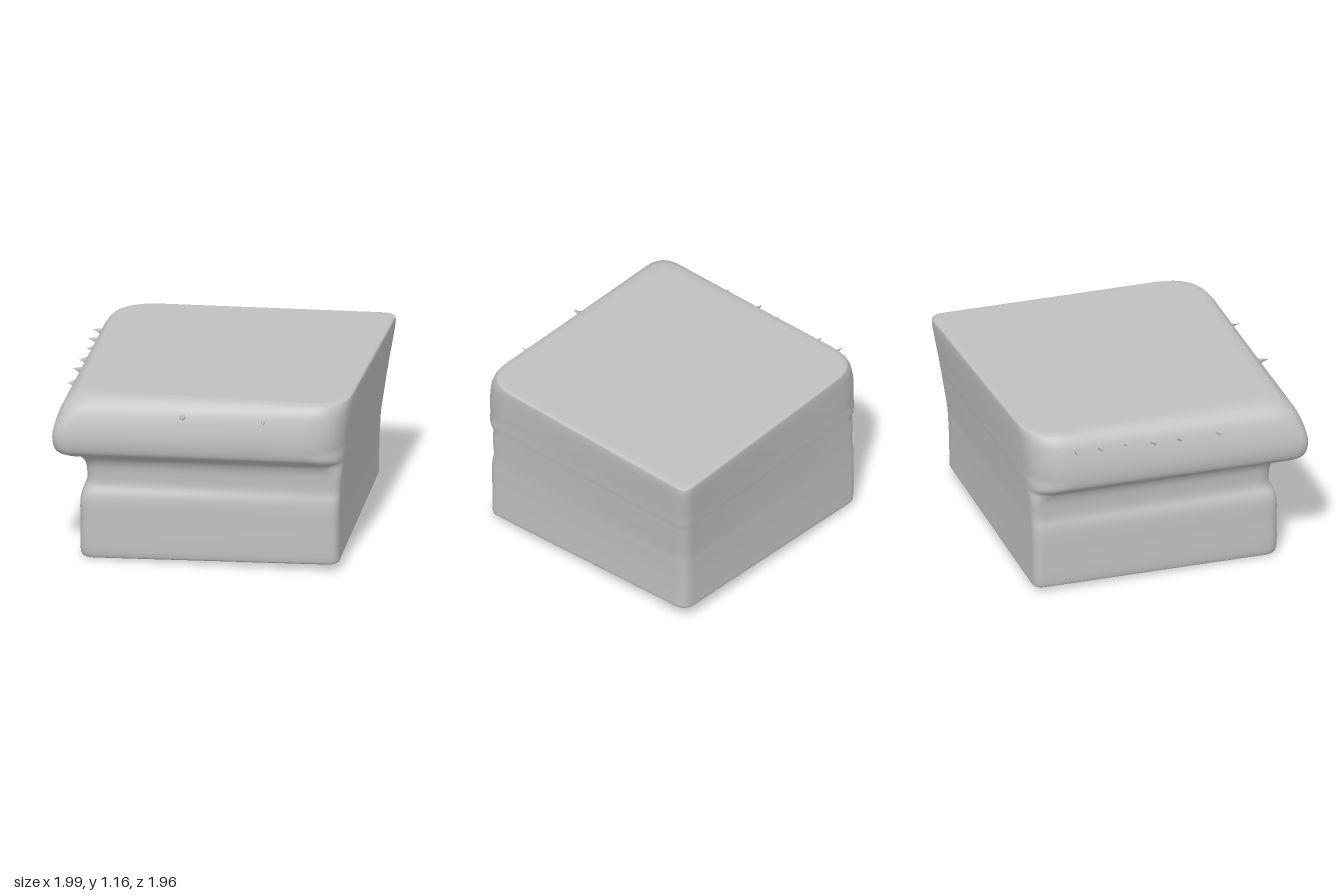
import * as THREE from 'three';

// Profile points: outward reach of the moulded sides, height, flare of the plain sides
const PROFILE = [
  [0.785, 0, -0.4], [0.81, 0.006, -0.15], [0.826, 0.025, 0], [0.832, 0.06, 0], [0.833, 0.25, 0.02],
  [0.832, 0.4, 0.08], [0.822, 0.45, 0.1], [0.795, 0.51, 0.16], [0.793, 0.58, 0.25], [0.808, 0.66, 0.35],
  [0.85, 0.715, 0.42], [0.93, 0.75, 0.46], [0.975, 0.785, 0.52], [0.995, 0.85, 0.6], [0.99, 0.94, 0.74],
  [0.955, 1.05, 0.9], [0.92, 1.105, 0.97], [0.87, 1.145, 0.98], [0.82, 1.16, 0.85], [0.77, 1.165, 0.5],
];
const CORNER_STEPS = 8, EDGE_STEPS = 10, LEVELS = 90;

// One horizontal cross-section: a skewed quad with rounded corners
function ring(out, y, flare) {
  const m = out - 0.83;
  const soft = 0.07 + 0.2 * THREE.MathUtils.smoothstep(y, 0.62, 0.85);
  const corners = [
    [-out, out - 0.012, 0.09 + 0.3 * Math.max(0, y - 0.9)],
    [0.88 + 0.05 * flare, 0.83 + m * 0.5, soft],
    [0.9 + 0.1 * flare, -0.89 - 0.09 * flare, 0.09],
    [-0.83 - m * 0.5, -0.865 - 0.03 * flare, soft],
  ];
  const pts = corners.map(c => new THREE.Vector2(c[0], c[1]));
  const toward = (a, b, d) => a.clone().add(b.clone().sub(a).setLength(d));
  const loop = [];
  for (let i = 0; i < 4; i++) {
    const p = pts[i], next = pts[(i + 1) % 4], prev = pts[(i + 3) % 4], r = corners[i][2];
    const end = toward(p, next, r);
    const bend = new THREE.QuadraticBezierCurve(toward(p, prev, r), p, end);
    loop.push(...bend.getPoints(CORNER_STEPS));
    const nextStart = toward(next, p, corners[(i + 1) % 4][2]);
    for (let k = 1; k < EDGE_STEPS; k++) loop.push(end.clone().lerp(nextStart, k / EDGE_STEPS));
  }
  // The underside tilts up toward the back plain corner
  return loop.map(q => {
    const tilt = 0.03 * (q.x + 0.83) + 0.023 * (0.83 - q.y);
    return [q.x, y + Math.max(0, tilt) * (1 - y / 1.165), q.y];
  });
}

function blockGeometry() {
  const curve = new THREE.CatmullRomCurve3(PROFILE.map(p => new THREE.Vector3(...p)), false, 'centripetal');
  const pos = [], index = [];
  let n = 0;
  for (let j = 0; j <= LEVELS; j++) {
    const p = curve.getPoint(j / LEVELS);
    const loop = ring(p.x, p.y, p.z);
    n = loop.length;
    loop.forEach(v => pos.push(...v));
  }
  for (let j = 0; j < LEVELS; j++) {
    for (let i = 0; i < n; i++) {
      const a = j * n + i, b = j * n + (i + 1) % n;
      index.push(a, b, b + n, a, b + n, a + n);
    }
  }
  // Close the underside and the top
  const low = pos.length / 3, high = low + 1, last = LEVELS * n;
  pos.push(0, 0.044, 0, 0, 1.165, 0);
  for (let i = 0; i < n; i++) {
    const k = (i + 1) % n;
    index.push(low, k, i, high, last + i, last + k);
  }
  const g = new THREE.BufferGeometry();
  g.setAttribute('position', new THREE.Float32BufferAttribute(pos, 3));
  g.setIndex(index);
  g.computeVertexNormals();
  return g;
}

export function createModel() {
  const group = new THREE.Group();
  group.name = 'corniceBlock';
  const stone = new THREE.MeshStandardMaterial({ color: 0xc0c0c0 });
  stone.name = 'grey stone';

  const block = new THREE.Mesh(blockGeometry(), stone);
  block.name = 'mouldedBlock';
  group.add(block);

  // Small chipped barbs along the moulded lip: x, y, z, direction x, direction z, length
  const barbs = [
    [-0.13, 1.06, 0.92, 0, 1, 0.08], [0.4, 1.05, 0.89, 0, 1, 0.09],
    [-0.82, 1.06, -0.72, -1, -0.2, 0.09], [-0.89, 1.06, -0.6, -1, -0.2, 0.1],
    [-0.9, 1.06, -0.44, -1, 0, 0.08], [-0.9, 1.06, -0.27, -1, 0.2, 0.06],
    [-0.92, 1.05, -0.08, -1, 0.2, 0.06], [-0.93, 1.05, 0.1, -1, 0, 0.07], [-0.93, 1.05, 0.36, -1, 0.4, 0.06],
  ];
  const up = new THREE.Vector3(0, 1, 0);
  for (const [x, y, z, dx, dz, len] of barbs) {
    const barb = new THREE.Mesh(new THREE.ConeGeometry(0.025, len, 5), stone);
    const dir = new THREE.Vector3(dx, 0.1, dz).normalize();
    barb.quaternion.setFromUnitVectors(up, dir);
    barb.position.set(x, y, z).addScaledVector(dir, len * 0.3);
    barb.name = 'chippedBarb';
    group.add(barb);
  }
  return group;
}
